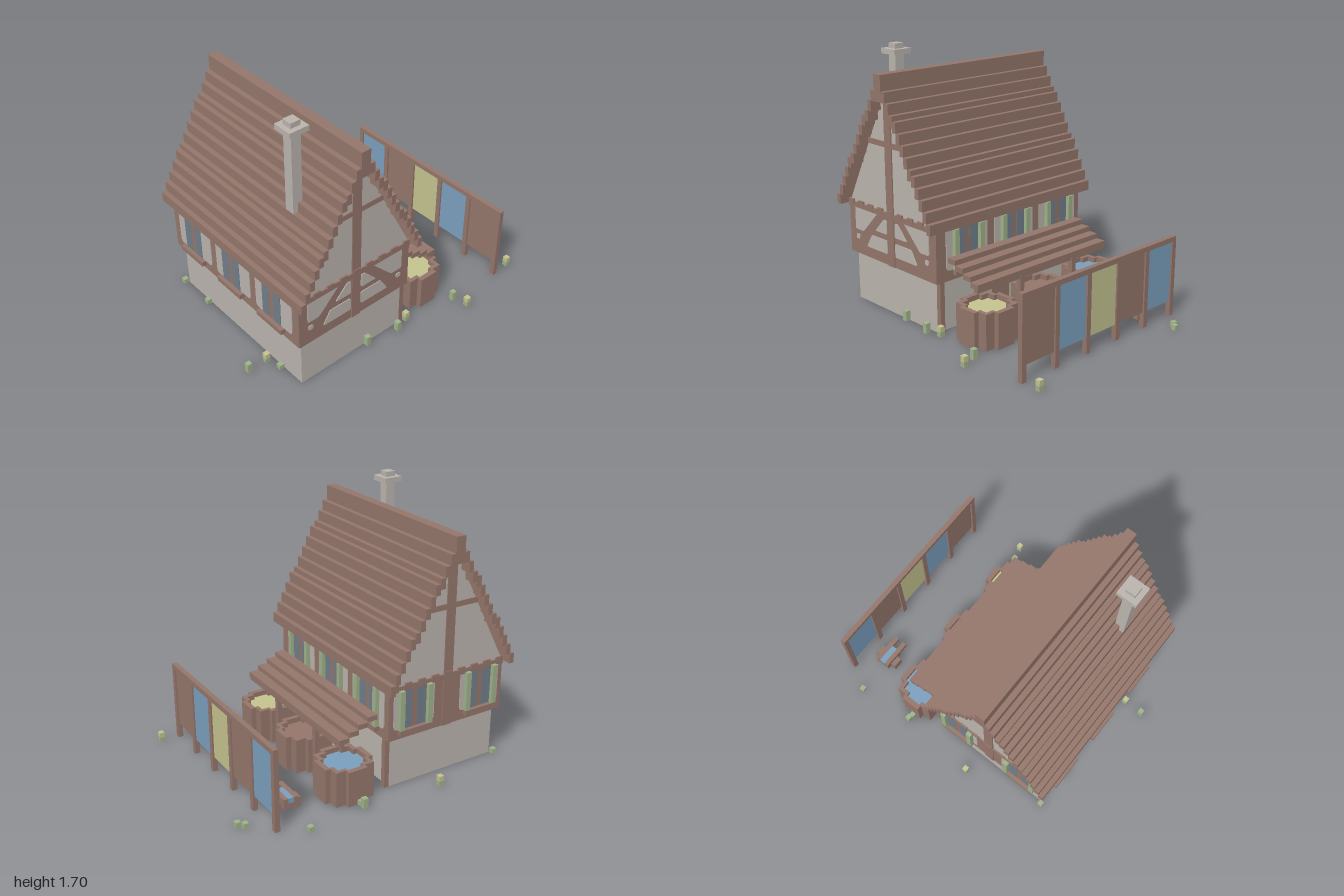
import * as THREE from 'three';

const mat = (name, color, double = false) => {
  const m = new THREE.MeshStandardMaterial({ color });
  m.name = name;
  if (double) m.side = THREE.DoubleSide;
  return m;
};

export function createModel() {
  const wood = mat('wood', 0x94766b);
  const stone = mat('stone', 0xbab4ad, true);
  const glass = mat('glass', 0x727e8a);
  const blue = mat('blue', 0x7b9fbd);
  const yellow = mat('yellow', 0xc4c38f);
  const green = mat('green', 0x9fb18a);

  const root = new THREE.Group();
  root.name = 'house';

  const group = (name, parent = root) => {
    const g = new THREE.Group();
    g.name = name;
    parent.add(g);
    return g;
  };
  const add = (parent, name, geo, m) => {
    const mesh = new THREE.Mesh(geo, m);
    mesh.name = name;
    parent.add(mesh);
    return mesh;
  };
  // Box given by its limits on each axis
  const box = (parent, name, m, x0, x1, y0, y1, z0, z1) => {
    const b = add(parent, name, new THREE.BoxGeometry(x1 - x0, y1 - y0, z1 - z0), m);
    b.position.set((x0 + x1) / 2, (y0 + y1) / 2, (z0 + z1) / 2);
    return b;
  };
  // Thin plate with clipped corners, standing just off a wall
  const panel = (parent, name, m, pts, z = 0, r = 0.025) => {
    const s = new THREE.Shape();
    pts.forEach((p, i) => {
      const a = new THREE.Vector2(...pts[(i + pts.length - 1) % pts.length]);
      const b = new THREE.Vector2(...p);
      const c = new THREE.Vector2(...pts[(i + 1) % pts.length]);
      const p0 = a.sub(b).setLength(r).add(b), p1 = c.sub(b).setLength(r).add(b);
      if (i) s.lineTo(p0.x, p0.y); else s.moveTo(p0.x, p0.y);
      s.quadraticCurveTo(b.x, b.y, p1.x, p1.y);
    });
    const geo = new THREE.ExtrudeGeometry(s, { depth: 0.005, bevelEnabled: false, curveSegments: 3 });
    add(parent, name, geo, m).position.z = z;
  };
  const rect = (u0, u1, v0, v1) => [[u0, v0], [u1, v0], [u1, v1], [u0, v1]];

  // Ground floor, open underneath
  const baseGeo = new THREE.BoxGeometry(1.2, 0.333, 0.8);
  const idx = Array.from(baseGeo.index.array);
  idx.splice(18, 6);
  baseGeo.setIndex(idx);
  baseGeo.clearGroups();
  add(root, 'groundFloor', baseGeo, stone).position.set(-0.017, 0.1665, 0.4);

  // Timber upper floor and gable attic
  box(root, 'upperFloor', wood, -0.65, 0.611, 0.333, 0.667, -0.033, 0.833);
  const attic = new THREE.Shape();
  attic.moveTo(-0.433, 0.667);
  attic.lineTo(0.433, 0.667);
  attic.lineTo(0, 1.5);
  const atticMesh = add(root, 'attic', new THREE.ExtrudeGeometry(attic, { depth: 1.255, bevelEnabled: false }), stone);
  atticMesh.rotation.y = Math.PI / 2;
  atticMesh.position.set(-0.647, 0, 0.4);

  // Wall groups: local x runs along the wall, local z points outward
  const wall = (name, x, z, turn) => {
    const g = group(name);
    g.position.set(x, 0, z);
    g.rotation.y = turn;
    return g;
  };
  const front = wall('frontWall', 0, 0.833, 0);
  const back = wall('backWall', 0, -0.033, Math.PI);
  const sideR = wall('rightGable', 0.611, 0.4, Math.PI / 2);
  const sideL = wall('leftGable', -0.65, 0.4, -Math.PI / 2);

  // Plaster field with a two-pane window, sill and optional shutters
  const windowBay = (g, u, l, r, shutters) => {
    panel(g, 'plaster', stone, rect(u - l, u + r, 0.4, 0.667));
    box(g, 'mullion', wood, u - 0.018, u + 0.018, 0.4, 0.667, 0, 0.007);
    for (const s of [-1, 1]) {
      box(g, 'pane', glass, u + s * 0.052 - 0.034, u + s * 0.052 + 0.034, 0.4, 0.667, 0, 0.008);
      if (shutters) box(g, 'shutter', green, u + s * 0.103 - 0.017, u + s * 0.103 + 0.017, 0.4, 0.66, 0, 0.033);
    }
    box(g, 'sill', wood, u - 0.117, u + 0.117, 0.367, 0.4, 0, 0.033);
  };
  for (let i = 0; i < 3; i++) {
    const u = -0.435 + 0.4 * i;
    windowBay(front, u, 0.155, 0.188, false);
    windowBay(back, -u, 0.17, 0.17, true);
  }
  for (const u of [-0.25, 0.25]) windowBay(sideL, u, 0.15, 0.15, true);

  // Timber framing of both gables
  for (const g of [sideR, sideL]) {
    box(g, 'kingPost', wood, -0.033, 0.033, 0.333, 1.5, 0, 0.007);
    box(g, 'collarBeam', wood, -0.2, 0.2, 1.105, 1.14, 0, 0.006);
    box(g, 'floorBeam', wood, -0.433, 0.433, 0.65, 0.685, 0, 0.009);
    for (let i = 0; i < 9; i++) {
      const u = -0.4 + 0.1 * i;
      box(g, 'joist', wood, u - 0.025, u + 0.025, 0.667, 0.7, 0, 0.012);
    }
  }
  // Plaster fields between the braces
  for (const s of [-1, 1]) {
    const f = (name, pts) => panel(sideR, name, stone, pts.map(([u, v]) => [u * s, v]), 0, 0.012);
    f('outerField', [[0.37, 0.655], [0.13, 0.655], [0.285, 0.5], [0.37, 0.5]]);
    f('innerField', [[0.04, 0.63], [0.07, 0.63], [0.16, 0.535], [0.04, 0.535]]);
    f('lowerField', [[0.04, 0.405], [0.255, 0.405], [0.2, 0.495], [0.04, 0.495]]);
    f('cornerField', [[0.33, 0.435], [0.365, 0.435], [0.365, 0.468], [0.33, 0.468]]);
  }

  // Stepped plank roof
  const roof = group('roof');
  const tops = [0.733, 0.8, 0.867, 0.933, 1, 1.033, 1.1, 1.167, 1.233, 1.3, 1.333, 1.4, 1.467];
  tops.forEach((t, k) => {
    const o = 0.467 - k / 30;
    for (const s of [-1, 1]) {
      const c = 0.4 + s * (o - 1 / 60);
      box(roof, 'roofPlank', wood, -0.717, 0.683, t - 0.067, t, c - 0.0168, c + 0.0168);
    }
  });
  box(roof, 'ridge', wood, -0.717, 0.683, 1.4, 1.567, 0.367, 0.433);

  // Chimney
  const chimney = group('chimney');
  box(chimney, 'chimneyShaft', stone, 0.315, 0.382, 0.98, 1.7, 0.6, 0.667);
  box(chimney, 'chimneyCap', stone, 0.282, 0.415, 1.633, 1.667, 0.567, 0.7);

  // Lean-to at the back with posts, door and step
  const lean = group('leanTo');
  for (let i = 0; i < 4; i++) {
    const z = -0.067 * (i + 1);
    box(lean, 'leanToPlank', wood, -0.583, 0.55, 0.467 - i / 30, 0.5 - i / 30, z - 0.067, z);
  }
  for (const x of [-0.283, 0.183]) {
    box(lean, 'leanToPost', wood, x - 0.017, x + 0.017, 0, 0.39, -0.333, -0.3);
    box(lean, 'rafter', wood, x - 0.017, x + 0.017, 0.36, 0.4, -0.3, -0.02);
  }
  box(lean, 'leanToBeam', wood, -0.583, 0.55, 0.345, 0.38, -0.33, -0.3);
  for (const x of [-0.6, 0.567]) box(lean, 'cornerPost', wood, x - 0.017, x + 0.017, 0, 0.333, -0.033, 0);
  box(lean, 'door', wood, -0.02, 0.13, 0.033, 0.333, -0.008, 0);
  box(lean, 'doorStep', stone, -0.05, 0.16, 0, 0.033, -0.067, 0);

  // Stepped round outline shared by the vats
  const ring = (T, k) => {
    const q = [[0.167, 0.067], [0.133, 0.067], [0.133, 0.133], [0.067, 0.133], [0.067, 0.167]];
    const pts = [];
    for (let i = 0; i < 4; i++) {
      for (const [a, b] of q) pts.push(new THREE.Vector2(a * k, b * k).rotateAround(new THREE.Vector2(), i * Math.PI / 2));
    }
    return new T(pts);
  };
  const vat = (x, dye) => {
    const g = group('dyeVat');
    g.position.set(x, 0, -0.267);
    g.rotation.x = -Math.PI / 2;
    const shell = ring(THREE.Shape, 1);
    shell.holes.push(ring(THREE.Path, 0.8));
    add(g, 'vatWall', new THREE.ExtrudeGeometry(shell, { depth: 0.233, bevelEnabled: false }), wood);
    const fill = ring(THREE.Shape, 0.81);
    add(g, 'vatBottom', new THREE.ExtrudeGeometry(fill, { depth: 0.15, bevelEnabled: false }), wood);
    add(g, 'dye', new THREE.ExtrudeGeometry(fill, { depth: 0.05, bevelEnabled: false }), dye).position.z = 0.15;
  };
  vat(-0.517, blue);
  vat(-0.05, wood);
  vat(0.415, yellow);

  // Drying rack with hanging cloths
  const rack = group('dryingRack');
  box(rack, 'topRail', wood, -0.683, 0.683, 0.5, 0.533, -0.833, -0.8);
  [blue, wood, yellow, blue, wood].forEach((m, i) => {
    const x = -0.667 + 0.2667 * i;
    box(rack, 'cloth', m, x + 0.017, x + 0.25, 0.1, 0.5, -0.822, -0.812);
  });
  for (let i = 0; i < 6; i++) {
    const x = -0.667 + 0.2667 * i;
    box(rack, 'rackPost', wood, x - 0.017, x + 0.017, 0, 0.5, -0.833, -0.8);
  }

  // Handcart
  const cart = group('handcart');
  box(cart, 'cartBed', wood, -0.55, -0.417, 0.033, 0.067, -0.7, -0.6);
  box(cart, 'cartLoad', blue, -0.55, -0.417, 0.067, 0.1, -0.67, -0.63);
  for (const s of [-1, 1]) {
    const h = -0.65 + s * 0.034, w = -0.65 + s * 0.067;
    box(cart, 'cartHandle', wood, -0.55, -0.35, 0.067, 0.1, h - 0.016, h + 0.016);
    box(cart, 'cartWheel', wood, -0.517, -0.45, 0, 0.067, w - 0.017, w + 0.017);
  }

  // Small plants: x, z, height, flowering
  const plants = [
    [-0.54, -0.95, 0.033], [-0.505, -0.983, 0.033], [0.665, -0.95, 0.067, 1], [-0.77, -0.65, 0.033],
    [0.765, -0.45, 0.067, 1], [0.665, -0.42, 0.067], [-0.735, -0.255, 0.067], [-0.7, -0.255, 0.033],
    [-0.77, 0.28, 0.067, 1], [0.295, 0.983, 0.067], [0.3, 0.85, 0.067, 1], [0.4, 0.82, 0.033],
    [-0.367, 0.82, 0.033], [-0.635, 0.82, 0.033], [0.6, 0.283, 0.067], [0.63, 0.05, 0.067], [0.6, -0.05, 0.067, 1],
  ];
  const garden = group('plants');
  for (const [x, z, h, flower] of plants) {
    const stem = flower ? 0.033 : h;
    box(garden, 'leaf', green, x - 0.0167, x + 0.0167, 0, stem, z - 0.0167, z + 0.0167);
    if (flower) box(garden, 'flower', yellow, x - 0.0167, x + 0.0167, stem, h, z - 0.0167, z + 0.0167);
  }
  return root;
}
